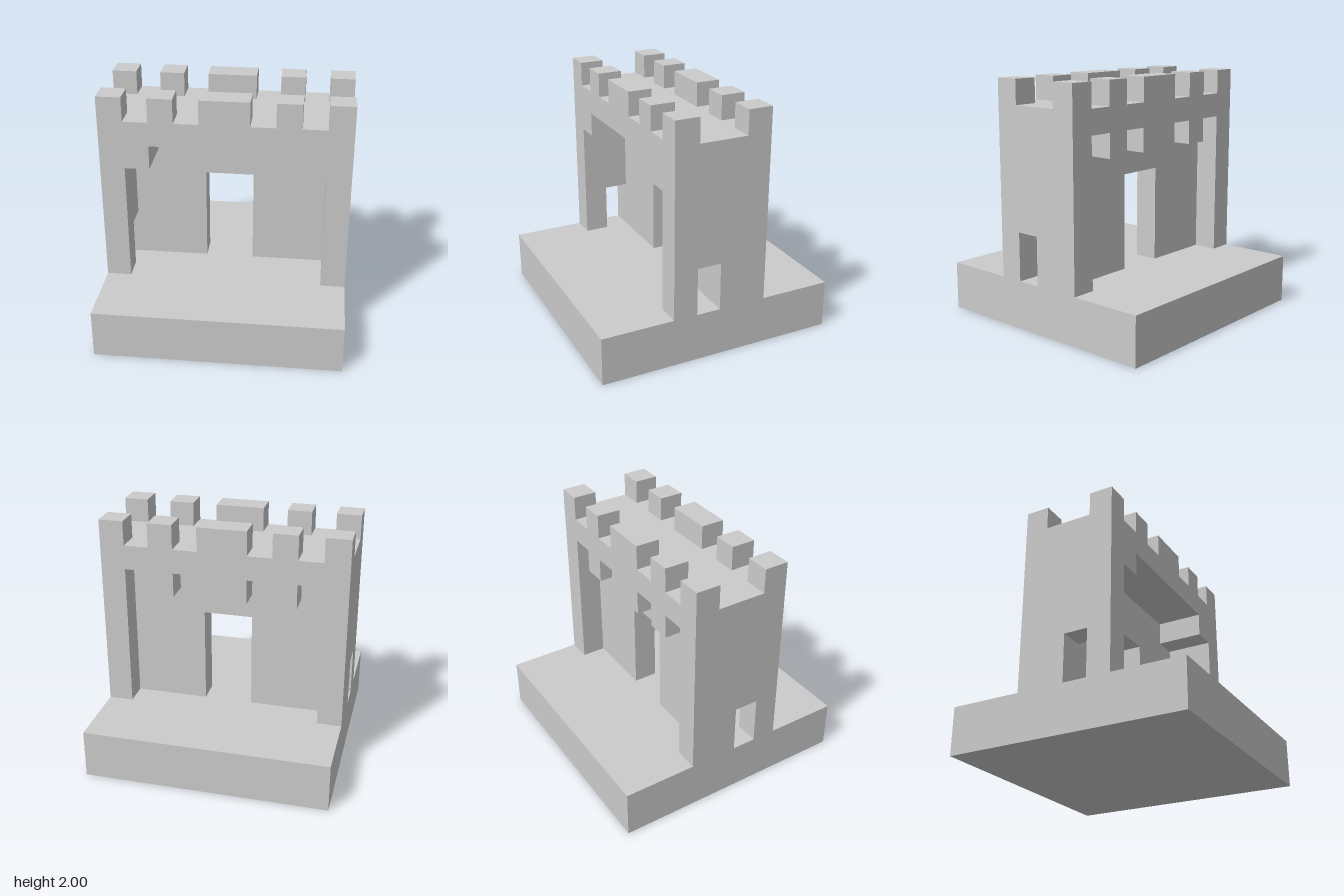
import * as THREE from 'three';

const material = new THREE.MeshStandardMaterial({ color: 0xcccccc, flatShading: true });

// Flat outline given a thickness along +z
function slab(points, depth) {
  const shape = new THREE.Shape(points.map(([x, y]) => new THREE.Vector2(x, y)));
  return new THREE.ExtrudeGeometry(shape, { depth, bevelEnabled: false });
}

export function createModel() {
  const model = new THREE.Group();

  function add(name, geometry) {
    const mesh = new THREE.Mesh(geometry, material);
    mesh.name = name;
    model.add(mesh);
  }

  // Box from its minimum to its maximum on each axis
  function block(name, [x0, x1], [y0, y1], [z0, z1]) {
    const geometry = new THREE.BoxGeometry(x1 - x0, y1 - y0, z1 - z0);
    add(name, geometry.translate((x0 + x1) / 2, (y0 + y1) / 2, (z0 + z1) / 2));
  }

  block('base', [-1, 1], [0, 0.4], [-1, 1]);

  // Side walls: outline in z and y, with a small doorway and the corner merlons
  const sideOutline = [
    [-0.4, 0.4], [0, 0.4], [0, 0.8], [0.2, 0.8], [0.2, 0.4], [0.4, 0.4],
    [0.4, 2], [0.2, 2], [0.2, 1.8], [-0.2, 1.8], [-0.2, 2], [-0.4, 2],
  ];
  for (const [name, x] of [['leftSideWall', 1], ['rightSideWall', -0.8]]) {
    add(name, slab(sideOutline, 0.2).rotateY(-Math.PI / 2).translate(x, 0, 0));
  }

  // Middle wall with the main doorway
  const doorOutline = [
    [-0.8, 0.4], [-0.2, 0.4], [-0.2, 1.2], [0.2, 1.2],
    [0.2, 0.4], [0.8, 0.4], [0.8, 1.6], [-0.8, 1.6],
  ];
  add('doorWall', slab(doorOutline, 0.2).translate(0, 0, -0.2));

  // Roof deck between the side walls
  block('roofDeck', [-0.8, 0.8], [1.6, 1.8], [-0.4, 0.4]);

  // Stepped upper corners of the front recess
  block('leftArchStep', [0.6, 0.8], [1.4, 1.6], [0, 0.4]);
  block('rightArchStep', [-0.8, -0.6], [1.4, 1.6], [0, 0.4]);

  // Merlons on both parapets, with matching corbels under the back one
  for (const span of [[-0.6, -0.4], [-0.2, 0.2], [0.4, 0.6]]) {
    block('frontMerlon', span, [1.8, 2], [0.2, 0.4]);
    block('backMerlon', span, [1.8, 2], [-0.4, -0.2]);
    block('backCorbel', span, [1.4, 1.6], [-0.4, -0.2]);
  }

  return model;
}
